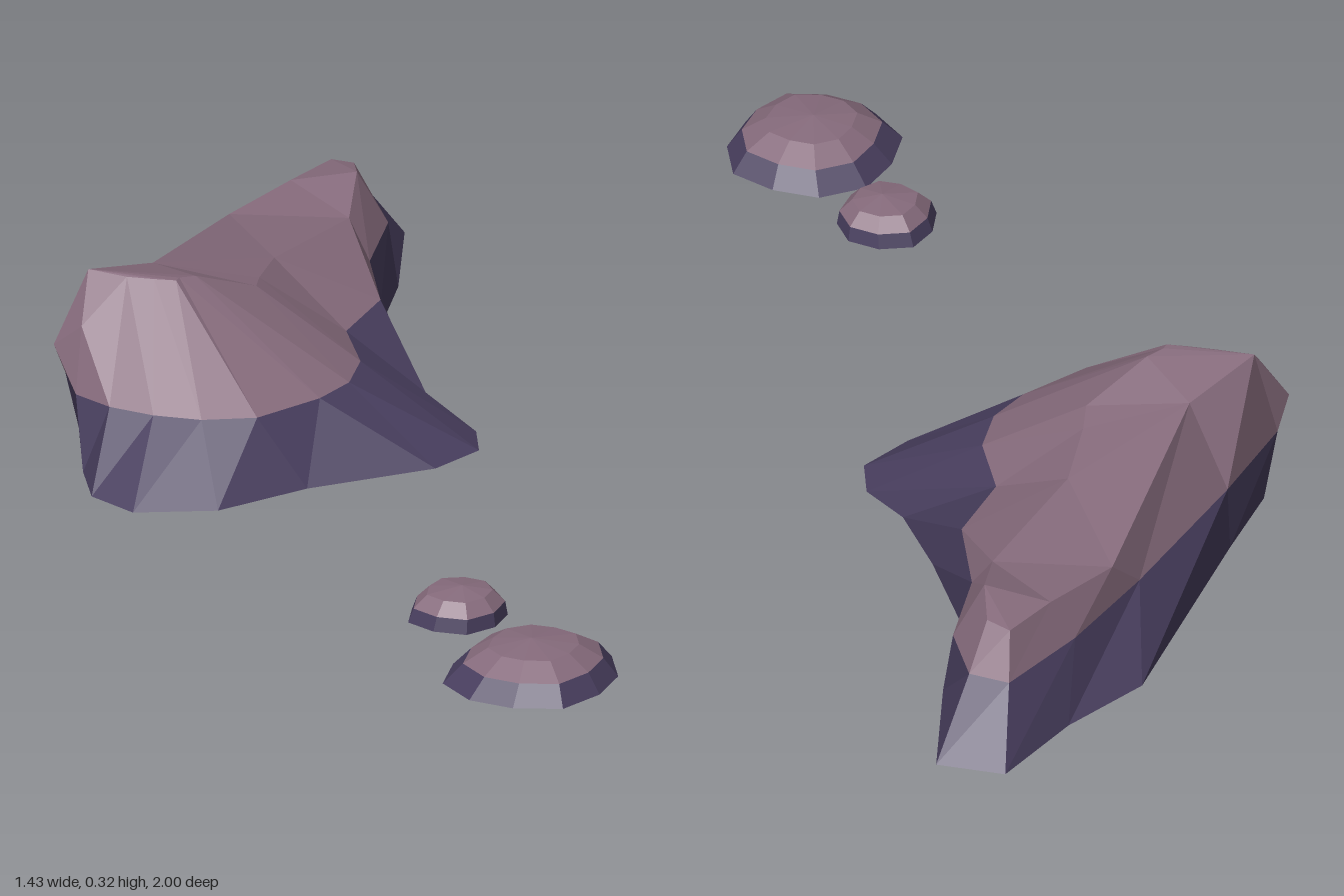
import * as THREE from 'three';

const material = (name, color) => {
  const m = new THREE.MeshStandardMaterial({ color, flatShading: true, side: THREE.DoubleSide });
  m.name = name;
  return m;
};

// Turns a list of triangles (each three [x, y, z] corners) into a flat-shaded mesh
function facetMesh(name, triangles, mat) {
  const geometry = new THREE.BufferGeometry();
  geometry.setAttribute('position', new THREE.Float32BufferAttribute(triangles.flat(2), 3));
  geometry.computeVertexNormals();
  const mesh = new THREE.Mesh(geometry, mat);
  mesh.name = name;
  return mesh;
}

// Wall between two closed rings, both running clockwise seen from above
function wall(low, high) {
  return low.flatMap((a, i) => {
    const j = (i + 1) % low.length;
    return [[low[j], a, high[i]], [low[j], high[i], high[j]]];
  });
}

// Long rock: foot, colour line and shoulder rings, starting at the back
const FOOT = [
  [-.61, -.98], [-.48, -1], [-.39, -.76], [-.34, -.55], [-.2, -.37], [-.08, -.23],
  [.01, -.19], [.05, -.11], [.01, 0], [-.17, .18], [-.28, .34], [-.42, .41],
  [-.52, .37], [-.58, .27], [-.67, .08], [-.68, -.1], [-.72, -.6], [-.65, -.78],
];
const LINE = [
  [-.57, -.87], [-.49, -.87], [-.41, -.76], [-.37, -.58], [-.28, -.42], [-.28, -.26],
  [-.2, -.14], [-.18, -.04], [-.2, .05], [-.27, .18], [-.36, .23], [-.45, .245],
  [-.54, .24], [-.62, .21], [-.68, .12], [-.675, -.1], [-.65, -.45], [-.62, -.68],
];
const SHOULDER = [
  [-.55, .215, -.82], [-.5, .22, -.81], [-.46, .24, -.73], [-.42, .205, -.6],
  [-.45, .23, -.32], [-.42, .25, -.18], [-.4, .26, -.12], [-.47, .315, 0],
  [-.49, .32, .03], [-.49, .32, .045], [-.53, .32, .055], [-.58, .32, .065],
  [-.63, .25, .16], [-.69, .2, .15], [-.655, .325, .07], [-.59, .29, -.08],
  [-.63, .205, -.53], [-.58, .215, -.7],
];
// Top facets, zigzagging from the low back end up to the front peak
const TOP = [
  [0, 1, 2], [0, 2, 17], [17, 2, 3], [17, 3, 16], [16, 3, 4], [16, 4, 15],
  [15, 4, 5], [15, 5, 6], [15, 6, 7], [15, 7, 14], [14, 7, 8], [14, 8, 9],
  [14, 9, 10], [14, 10, 11], [14, 11, 12], [14, 12, 13],
];

function longRock(upper, lower) {
  const rock = new THREE.Group();
  rock.name = 'longRock';
  const foot = FOOT.map(([x, z], i) => [x, i === 5 ? 0 : .01, z]);
  const line = LINE.map(([x, z]) => [x, .135, z]);
  const cap = TOP.map(([a, b, c]) => [SHOULDER[a], SHOULDER[c], SHOULDER[b]]);
  rock.add(
    facetMesh('longRockBase', wall(foot, line), lower),
    facetMesh('longRockTop', [...wall(line, SHOULDER), ...cap], upper),
  );
  return rock;
}

// Small rounded-square rock, open below; rings are [y, scale, x shift]
function pebble(name, [cx, cz], [rx, rz], sides, rings, peak, upper, lower) {
  const rock = new THREE.Group();
  rock.name = name;
  const loops = rings.map(([y, scale, shift]) => Array.from({ length: sides }, (_, i) => {
    const t = ((i + .4) / sides) * Math.PI * 2;
    const c = Math.cos(t), s = Math.sin(t);
    const r = scale / Math.pow(Math.abs(c) ** 2.7 + Math.abs(s) ** 2.7, 1 / 2.7);
    return [cx + shift + rx * r * c, y, cz + rz * r * s];
  }));
  const [foot, line, shoulder] = loops;
  const tip = [cx + peak[0], peak[1], cz + peak[2]];
  const cap = shoulder.map((p, i) => [shoulder[(i + 1) % sides], p, tip]);
  rock.add(
    facetMesh(name + 'Base', wall(foot, line), lower),
    facetMesh(name + 'Top', [...wall(line, shoulder), ...cap], upper),
  );
  return rock;
}

export function createModel() {
  const upper = material('dusty mauve stone', 0x866b7c);
  const lower = material('dark violet stone', 0x483e5e);
  const model = new THREE.Group();
  model.name = 'rocks';
  model.add(
    longRock(upper, lower),
    pebble('largePebble', [.562, .84], [.153, .16], 11,
      [[.018, 1, 0], [.055, .8, .005], [.082, .52, .005]], [0, .092, 0], upper, lower),
    pebble('smallPebble', [.332, .65], [.088, .09], 9,
      [[.025, 1, 0], [.052, .92, .003], [.076, .66, .004]], [.01, .086, 0], upper, lower),
  );
  return model;
}
